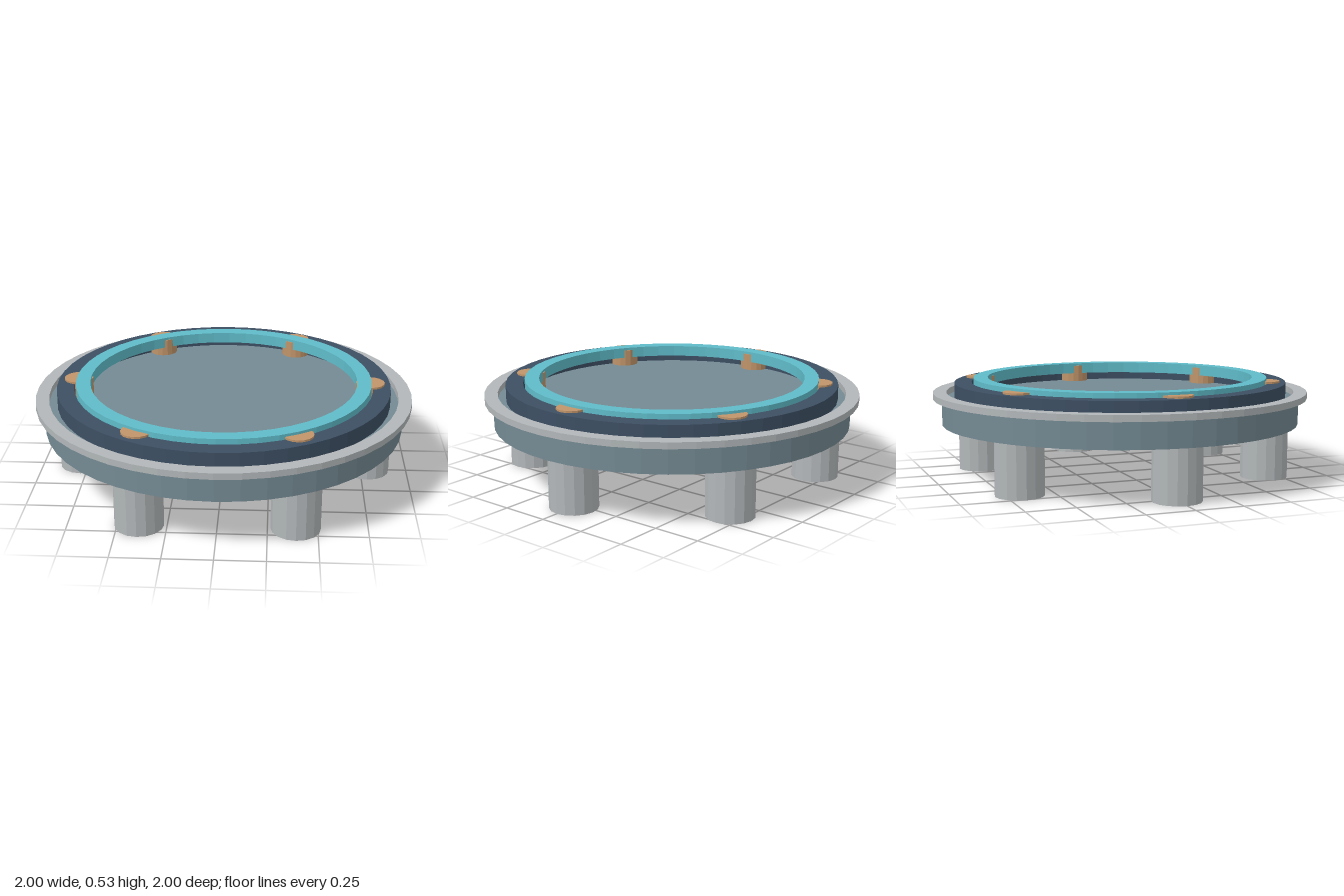
import * as THREE from 'three';

const material = (name, color) => {
  const m = new THREE.MeshStandardMaterial({ color, flatShading: true });
  m.name = name;
  return m;
};

export function createModel() {
  const slate = material('slate', 0x748a93);
  const grey = material('light grey', 0xb2b7b9);
  const navy = material('navy', 0x3d4f63);
  const teal = material('teal', 0x5fbcc9);
  const copper = material('copper', 0xc0946a);
  const SIDES = 48;
  const group = new THREE.Group();
  group.name = 'roundPlatform';

  const add = (name, geometry, mat, x = 0, y = 0, z = 0) => {
    const mesh = new THREE.Mesh(geometry, mat);
    mesh.name = name;
    mesh.position.set(x, y, z);
    group.add(mesh);
  };

  // Upright cylinder between two heights
  const disc = (name, r, y0, y1, sides, mat, x = 0, z = 0) =>
    add(name, new THREE.CylinderGeometry(r, r, y1 - y0, sides), mat, x, (y0 + y1) / 2, z);

  // Flat ring with a rectangular section
  const ring = (name, inner, outer, y0, y1, mat) => {
    const section = [[inner, y0], [outer, y0], [outer, y1], [inner, y1], [inner, y0]];
    add(name, new THREE.LatheGeometry(section.map(([r, y]) => new THREE.Vector2(r, y)), SIDES), mat);
  };

  // Stacked body
  disc('baseDisc', 0.955, 0.287, 0.424, SIDES, slate);
  ring('outerRim', 0.93, 1.0, 0.424, 0.457, grey);
  ring('navyRing', 0.795, 0.887, 0.42, 0.506, navy);
  ring('tealRing', 0.71, 0.786, 0.472, 0.53, teal);

  // Six legs with a copper contact above each
  for (let i = 0; i < 6; i++) {
    const a = (i * Math.PI) / 3;
    const x = 0.78 * Math.cos(a), z = 0.78 * Math.sin(a);
    disc('leg', 0.125, 0, 0.29, 16, grey, x, z);
    disc('contact', 0.077, 0.42, 0.516, 16, copper, x, z);
  }
  return group;
}
